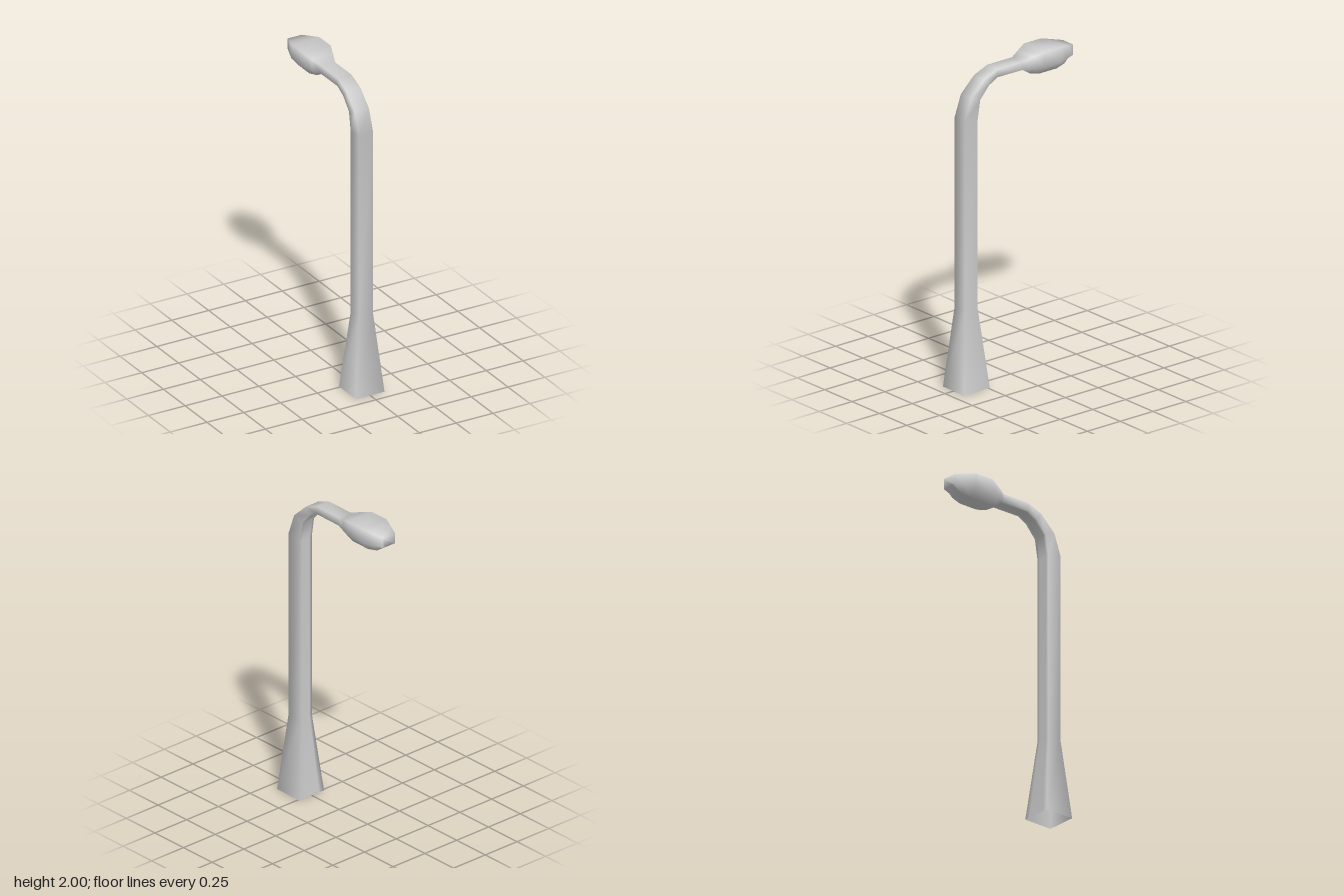
import * as THREE from 'three';

// Cross-section stations: outer/top point (z, y), inner/bottom point (z, y), half width.
const POLE = [
  { o: [0.435, 0], i: [0.24, 0], w: 0.097 },
  { o: [0.388, 0.5], i: [0.292, 0.5], w: 0.048 },
  { o: [0.388, 1.69], i: [0.292, 1.675], w: 0.048 },
  { o: [0.34, 1.825], i: [0.272, 1.8], w: 0.048 },
  { o: [0.24, 1.92], i: [0.205, 1.875], w: 0.048 },
  { o: [0.14, 1.96], i: [0.14, 1.91], w: 0.048 },
  { o: [-0.05, 1.96], i: [-0.05, 1.908], w: 0.048 },
];

// Lamp head: z, top y, underside y, half width, underside half width.
const RIM = 1.908;
const HEAD = [
  [-0.112, 1.98, 1.87, 0.071, 0.04],
  [-0.18, 2.0, 1.855, 0.095, 0.05],
  [-0.31, 2.0, 1.855, 0.095, 0.05],
  [-0.375, 1.986, 1.867, 0.071, 0.04],
  [-0.435, 1.973, RIM, 0.048, 0.03],
];

// Six corners: top pair, side rim, underside pair, side rim.
function ring([oz, oy], [iz, iy], [bz, by], w, bw) {
  return [w, oy, oz, -w, oy, oz, -w, iy, iz, -bw, by, bz, bw, by, bz, w, iy, iz];
}

export function createModel() {
  const rings = [
    ...POLE.map(({ o, i, w }) => ring(o, i, i, w, w * 0.6)),
    ...HEAD.map(([z, top, low, w, bw]) => ring([z, top], [z, RIM], [z, low], w, bw)),
  ];

  // Skin neighbouring rings into quads.
  const N = 6;
  const index = [];
  for (let r = 0; r < rings.length - 1; r++) {
    for (let j = 0; j < N; j++) {
      const a = r * N + j;
      const b = r * N + (j + 1) % N;
      index.push(a, a + N, b, b, a + N, b + N);
    }
  }
  // Close the tip of the lamp; the foot stays open.
  const tip = (rings.length - 1) * N;
  for (let k = 1; k < N - 1; k++) index.push(tip, tip + k + 1, tip + k);

  const skin = new THREE.BufferGeometry();
  skin.setAttribute('position', new THREE.Float32BufferAttribute(rings.flat(), 3));
  skin.setIndex(index);
  skin.computeVertexNormals();

  // Pole and head share normals, so the joint shades smoothly.
  const material = new THREE.MeshStandardMaterial({ color: 0xcccccc, side: THREE.DoubleSide });
  const group = new THREE.Group();
  group.name = 'streetLamp';
  const split = (POLE.length - 1) * N * 6;
  const addPart = (name, faces) => {
    const geometry = skin.clone();
    geometry.setIndex(faces);
    const mesh = new THREE.Mesh(geometry, material);
    mesh.name = name;
    group.add(mesh);
  };
  addPart('pole', index.slice(0, split));
  addPart('lampHead', index.slice(split));
  return group;
}
